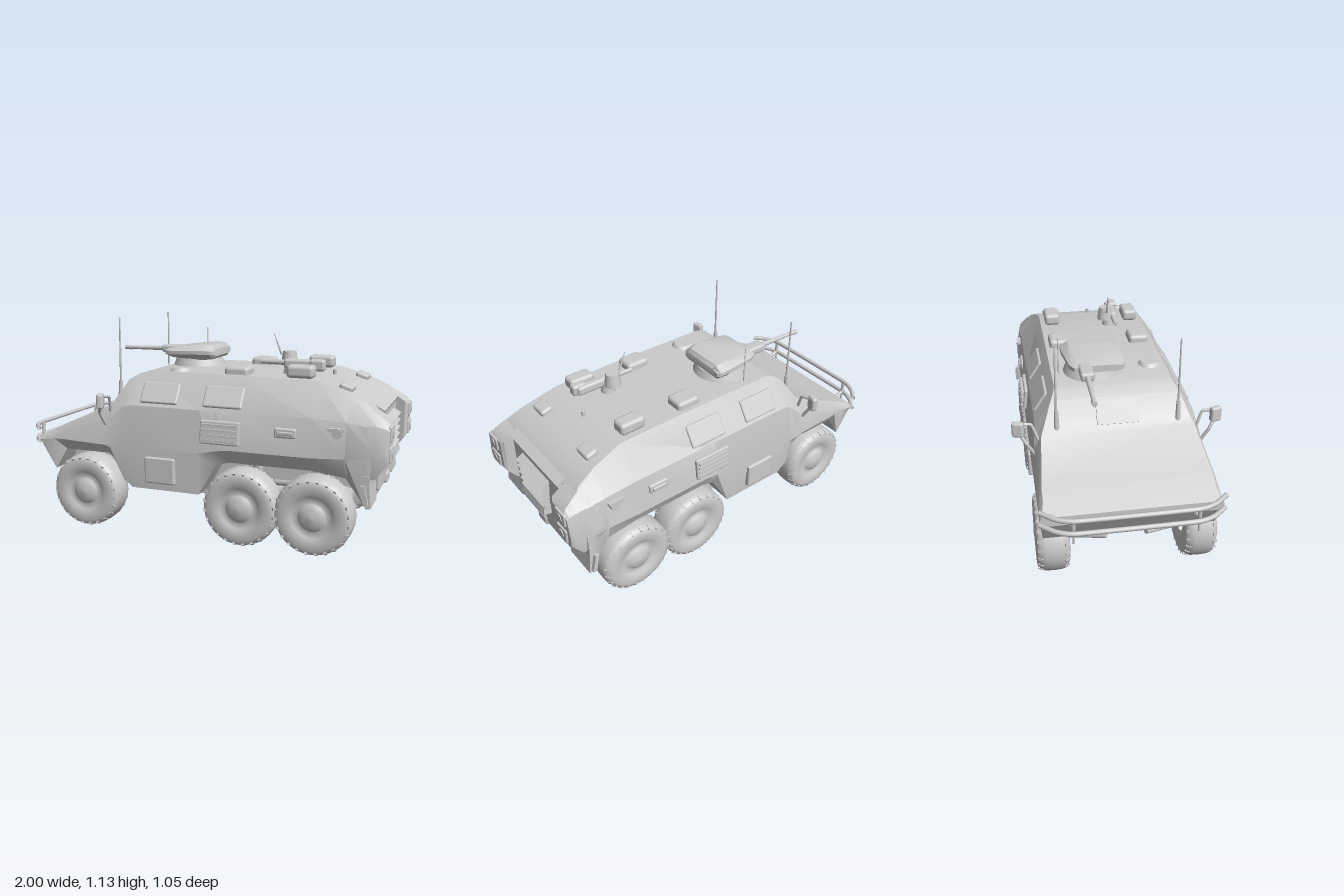
import * as THREE from 'three';
import { toCreasedNormals } from 'three/addons/utils/BufferGeometryUtils.js';
import { RoundedBoxGeometry } from 'three/addons/geometries/RoundedBoxGeometry.js';

const mat = new THREE.MeshStandardMaterial({ color: 0xcccccc, side: THREE.DoubleSide });
const V = (p) => new THREE.Vector3(...p);

// Closed loft along x through rings of [z, y] points, capped at both ends
function loft(stations, crease) {
  const verts = [], idx = [], n = stations[0].ring.length, last = (stations.length - 1) * n;
  for (const { x, ring } of stations) for (const [z, y] of ring) verts.push(x, y, z);
  for (let s = 0; s < last; s += n)
    for (let j = 0; j < n; j++) {
      const k = (j + 1) % n;
      idx.push(s + j, s + n + j, s + k, s + k, s + n + j, s + n + k);
    }
  for (let j = 1; j < n - 1; j++) idx.push(0, j, j + 1, last, last + j + 1, last + j);
  const g = new THREE.BufferGeometry();
  g.setAttribute('position', new THREE.Float32BufferAttribute(verts, 3));
  g.setIndex(idx);
  return toCreasedNormals(g, crease);
}

export function createModel() {
  const root = new THREE.Group();
  const add = (name, geo, pos = [0, 0, 0], rot = [0, 0, 0], parent = root) => {
    const m = new THREE.Mesh(geo, mat);
    m.name = name;
    m.position.set(...pos);
    m.rotation.set(...rot);
    parent.add(m);
    return m;
  };
  const box = (name, size, pos, rot, parent) => add(name, new THREE.BoxGeometry(...size), pos, rot, parent);
  const soft = (name, size, pos, rot, r = 0.015) => add(name, new RoundedBoxGeometry(...size, 2, r), pos, rot);
  // Tapered rod between two points
  const rod = (name, a, b, r0, r1 = r0) => {
    const d = V(b).sub(V(a));
    const m = add(name, new THREE.CylinderGeometry(r1, r0, d.length(), 12), V(a).addScaledVector(d, 0.5).toArray());
    m.quaternion.setFromUnitVectors(new THREE.Vector3(0, 1, 0), d.normalize());
  };
  const tube = (name, pts, r) =>
    add(name, new THREE.TubeGeometry(new THREE.CatmullRomCurve3(pts.map(V), false, 'catmullrom', 0.2), 32, r, 8));

  // Hull stations: x, belly y, arch y, arch z, belt y, shoulder y, z, top y, z
  const hull = [
    [-0.89, 0.44, 0.44, 0.42, 0.47, 0.48, 0.43, 0.49, 0.42],
    [-0.81, 0.31, 0.31, 0.42, 0.48, 0.50, 0.43, 0.53, 0.41],
    [-0.75, 0.33, 0.42, 0.40, 0.48, 0.52, 0.43, 0.56, 0.41],
    [-0.49, 0.33, 0.42, 0.40, 0.47, 0.60, 0.42, 0.675, 0.385],
    [-0.46, 0.30, 0.40, 0.40, 0.46, 0.62, 0.42, 0.705, 0.37],
    [-0.39, 0.23, 0.29, 0.42, 0.46, 0.68, 0.41, 0.815, 0.325],
    [-0.34, 0.21, 0.25, 0.42, 0.46, 0.69, 0.41, 0.845, 0.305],
    [-0.30, 0.21, 0.25, 0.42, 0.46, 0.69, 0.41, 0.857, 0.30],
    [0.04, 0.21, 0.25, 0.42, 0.47, 0.69, 0.41, 0.86, 0.30],
    [0.13, 0.30, 0.41, 0.40, 0.49, 0.69, 0.41, 0.86, 0.30],
    [0.20, 0.33, 0.43, 0.40, 0.50, 0.69, 0.41, 0.86, 0.30],
    [0.62, 0.33, 0.43, 0.40, 0.50, 0.69, 0.41, 0.855, 0.30],
    [0.79, 0.33, 0.41, 0.40, 0.51, 0.68, 0.41, 0.80, 0.32],
    [0.88, 0.29, 0.30, 0.42, 0.51, 0.67, 0.41, 0.755, 0.34],
    [0.91, 0.30, 0.30, 0.42, 0.51, 0.66, 0.405, 0.725, 0.35],
  ].map(([x, b, a, az, by, sy, sz, ty, tz]) => {
    const half = [[0.27, b], [0.27, a], [az, a], [0.435, by], [sz, sy], [tz, ty]];
    return { x, ring: [...half, ...half.map(([z, y]) => [-z, y]).reverse()] };
  });
  add('hull', loft(hull, 0.45));

  // Wheels: lathed tyre, domed hub and low shoulder lugs
  const tyre = new THREE.LatheGeometry([[0.07, -0.07], [0.12, -0.08], [0.165, -0.08], [0.188, -0.069], [0.197, -0.04],
    [0.199, 0], [0.197, 0.04], [0.188, 0.069], [0.165, 0.08], [0.12, 0.08], [0.105, 0.065], [0.075, 0.06], [0.068, 0.07],
    [0.04, 0.083], [0, 0.088]].map((p) => new THREE.Vector2(...p)), 40);
  for (const x of [-0.62, 0.265, 0.64]) {
    for (const s of [1, -1]) {
      const wheel = new THREE.Group();
      wheel.name = 'wheel';
      wheel.position.set(x, 0.203, s * 0.367);
      wheel.rotation.x = s * Math.PI / 2;
      root.add(wheel);
      add('tyre', tyre, undefined, undefined, wheel);
      for (let i = 0; i < 48; i++) {
        const t = i / 48 * Math.PI * 2, side = i % 2 ? 1 : -1;
        box('treadLug', [0.03, 0.026, 0.014], [Math.cos(t) * 0.178, side * 0.06, Math.sin(t) * 0.178], [0, -t, side * 0.5], wheel);
      }
      // Suspension arms, half shaft and damper
      rod('halfShaft', [x, 0.24, 0], [x, 0.2, s * 0.32], 0.02);
      for (const d of [-0.1, 0.1]) {
        rod('lowerArm', [x + d, 0.22, s * 0.1], [x, 0.17, s * 0.31], 0.018);
        rod('upperArm', [x + d, 0.31, s * 0.16], [x, 0.23, s * 0.31], 0.016);
      }
      rod('damper', [x + 0.05, 0.19, s * 0.25], [x + 0.05, 0.42, s * 0.28], 0.026);
    }
    add('differential', new THREE.SphereGeometry(0.055, 16, 12), [x, 0.23, 0]);
    box('axleCrossBeam', [0.06, 0.03, 0.3], [x + 0.08, 0.2, 0]);
  }
  rod('driveShaft', [-0.62, 0.24, 0], [0.64, 0.24, 0], 0.025);

  // Side fittings, mirrored
  for (const s of [1, -1]) {
    const tilt = [-s * 0.58, 0, 0];
    soft('sideWindow', [0.21, 0.12, 0.025], [-0.19, 0.755, s * 0.366], tilt, 0.01);
    soft('sideWindow', [0.21, 0.12, 0.025], [0.16, 0.755, s * 0.366], tilt, 0.01);
    soft('sideVent', [0.21, 0.12, 0.04], [0.16, 0.585, s * 0.42], [-s * 0.1, 0, 0], 0.008);
    for (let i = 0; i < 4; i++) box('ventSlat', [0.19, 0.01, 0.015], [0.16, 0.545 + i * 0.027, s * 0.44]);
    soft('sideStepBox', [0.17, 0.14, 0.04], [-0.17, 0.36, s * 0.428], undefined, 0.01);
    soft('sideHandle', [0.11, 0.05, 0.03], [0.495, 0.61, s * 0.418], undefined, 0.01);
    soft('sideHandleGrip', [0.08, 0.018, 0.02], [0.495, 0.61, s * 0.432], undefined, 0.005);
    rod('sideMarker', [0.75, 0.63, s * 0.40], [0.75, 0.63, s * 0.44], 0.025);
    box('sideMarkerBar', [0.08, 0.015, 0.02], [0.74, 0.645, s * 0.425]);

    // Rear corner pods with framed lamps, and mud flaps
    const pod = [
      { x: 0.79, ring: [[0.25, 0.42], [0.41, 0.42], [0.436, 0.51], [0.412, 0.68], [0.322, 0.80], [0.25, 0.79]] },
      { x: 0.93, ring: [[0.26, 0.42], [0.42, 0.42], [0.432, 0.53], [0.405, 0.67], [0.36, 0.72], [0.25, 0.715]] },
      { x: 0.975, ring: [[0.26, 0.48], [0.42, 0.48], [0.428, 0.54], [0.402, 0.66], [0.37, 0.69], [0.25, 0.685]] },
      { x: 0.988, ring: [[0.27, 0.50], [0.415, 0.50], [0.42, 0.54], [0.40, 0.65], [0.375, 0.67], [0.27, 0.67]] },
    ];
    if (s < 0) for (const p of pod) p.ring = p.ring.map(([z, y]) => [-z, y]).reverse();
    add('rearCorner', loft(pod, 0.5));
    for (const y of [0.635, 0.535]) {
      soft('rearLampFrame', [0.03, 0.075, 0.09], [0.982, y, s * 0.345], undefined, 0.008);
      add('rearLamp', new THREE.CylinderGeometry(0.025, 0.03, 0.03, 6), [0.986, y, s * 0.345], [0, 0, -Math.PI / 2]);
    }
    box('mudFlap', [0.025, 0.16, 0.18], [0.9, 0.36, s * 0.345], [0, 0, 0.1]);
    box('rearEyelet', [0.02, 0.1, 0.02], [0.89, 0.345, s * 0.445], [0, 0, 0.2]);

    // Mirrors and whip antennas
    tube('mirrorArm', [[-0.49, 0.58, s * 0.42], [-0.50, 0.65, s * 0.46], [-0.48, 0.7, s * 0.49]], 0.009);
    tube('mirrorBrace', [[-0.47, 0.65, s * 0.40], [-0.46, 0.73, s * 0.43], [-0.47, 0.74, s * 0.49]], 0.008);
    soft('mirror', [0.035, 0.08, 0.06], [-0.475, 0.718, s * 0.495], [0, s * 0.3, 0], 0.012);
    rod('antennaBase', [-0.46, 0.68, s * 0.305], [-0.455, 0.80, s * 0.305], 0.014, 0.01);
    rod('antenna', [-0.455, 0.80, s * 0.305], [-0.455, 1.135, s * 0.303], 0.006, 0.004);

    // Guard bar brackets and towing eyes
    tube('guardBracket', [[-0.86, 0.46, s * 0.29], [-0.92, 0.45, s * 0.29], [-0.97, 0.47, s * 0.29], [-0.975, 0.53, s * 0.29]], 0.01);
    rod('towEye', [-0.975, 0.40, s * 0.29], [-0.975, 0.46, s * 0.29], 0.006);
  }

  // Front guard bars
  for (const y of [0.53, 0.46])
    tube('frontGuardBar', [[-0.90, y, -0.435], [-0.955, y, -0.37], [-0.985, y, -0.28], [-0.985, y, 0.28], [-0.955, y, 0.37], [-0.90, y, 0.435]], 0.012);

  // Rear engine door with louvres
  soft('engineDoor', [0.04, 0.40, 0.48], [0.91, 0.515, 0], undefined, 0.012);
  box('doorHood', [0.08, 0.025, 0.48], [0.90, 0.725, 0], [0, 0, -0.45]);
  for (let i = 0; i < 5; i++)
    box('rearLouvre', [0.05, 0.018, 0.27 - i * 0.012], [0.945, 0.65 - i * 0.035, 0], [0, 0, -0.5]);
  box('louvreBase', [0.06, 0.06, 0.23], [0.94, 0.475, 0], [0, 0, 0.2]);
  box('rearPlate', [0.02, 0.05, 0.12], [0.93, 0.42, 0]);
  box('lowerRearPlate', [0.03, 0.1, 0.5], [0.895, 0.33, 0]);
  soft('towCoupling', [0.06, 0.06, 0.09], [0.91, 0.33, 0]);

  // Windscreen visor, roof hatches and boxes
  box('frontVisor', [0.12, 0.015, 0.21], [-0.44, 0.755, 0], [0, 0, 0.98]);
  for (const s of [1, -1]) {
    soft('roofHatch', [0.13, 0.06, 0.11], [0.19, 0.87, s * 0.222], undefined, 0.02);
    soft('roofBox', [0.14, 0.065, 0.085], [0.52, 0.888, s * 0.232], undefined, 0.02);
    soft('rearRoofBox', [0.07, 0.04, 0.10], [0.75, 0.818, s * 0.215], [0, 0, -0.3]);
  }
  add('roundHatch', new THREE.CylinderGeometry(0.045, 0.06, 0.02, 20), [-0.14, 0.866, 0.22]);
  rod('roofPeg', [0.64, 0.85, 0], [0.64, 0.875, 0], 0.01);

  // Gun turret: ring, faceted housing thinning to the front, and barrel
  add('turretRing', new THREE.CylinderGeometry(0.13, 0.15, 0.05, 24), [-0.16, 0.875, -0.09]);
  const housing = [[-0.31, 0.915, 0.95, -0.195, 0.05], [-0.27, 0.905, 0.96, -0.215, 0.065], [-0.10, 0.895, 0.98, -0.24, 0.065],
    [-0.04, 0.90, 0.975, -0.24, 0.055], [-0.025, 0.915, 0.955, -0.225, 0.04]].map(([x, y0, y1, z0, z1]) => {
    const m = (y0 + y1) / 2;
    return { x, ring: [[z0 + 0.03, y0], [z1 - 0.03, y0], [z1, m - 0.01], [z1, m + 0.01], [z1 - 0.04, y1], [z0 + 0.04, y1], [z0, m + 0.01], [z0, m - 0.01]] };
  });
  add('turretHousing', loft(housing, 0.6));
  soft('gunMantlet', [0.14, 0.045, 0.07], [-0.34, 0.935, -0.14]);
  rod('gunBarrel', [-0.36, 0.935, -0.14], [-0.64, 0.93, -0.145], 0.015, 0.01);
  rod('muzzle', [-0.62, 0.93, -0.144], [-0.665, 0.93, -0.146], 0.013);
  rod('turretAntenna', [-0.18, 0.85, -0.262], [-0.18, 1.055, -0.262], 0.004, 0.002);

  // Roof machine gun on a pedestal
  rod('gunPedestal', [0.43, 0.855, 0.10], [0.43, 0.91, 0.10], 0.04, 0.03);
  soft('gunReceiver', [0.2, 0.05, 0.045], [0.5, 0.91, 0.12]);
  rod('gunTube', [0.42, 0.915, 0.12], [0.275, 0.915, 0.115], 0.015, 0.011);
  add('gunDrum', new THREE.CylinderGeometry(0.035, 0.045, 0.07, 16), [0.415, 0.935, 0.075]);
  soft('ammoBox', [0.08, 0.06, 0.05], [0.58, 0.91, 0.14]);
  rod('gunWhip', [0.375, 0.95, 0.08], [0.33, 1.06, 0.08], 0.007, 0.002);
  return root;
}
